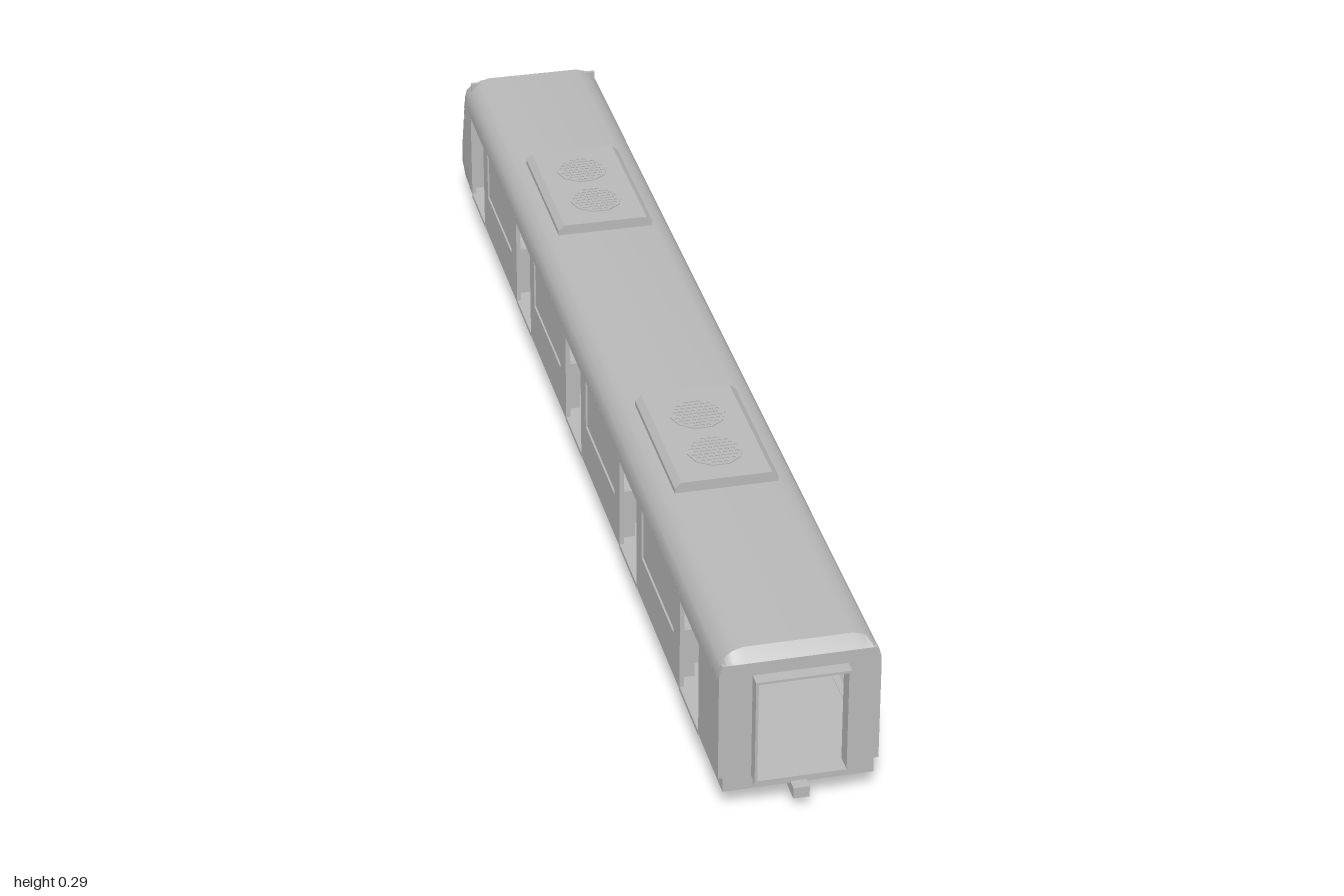
import * as THREE from 'three';
import { toCreasedNormals } from 'three/addons/utils/BufferGeometryUtils.js';

const grey = new THREE.MeshStandardMaterial({ color: 0xb8b8b8, side: THREE.DoubleSide });
grey.name = 'grey paint';

const DOORS = [0.803, 0.403, 0.007, -0.393, -0.795];
const WINDOWS = [0.6, 0.205, -0.198, -0.598];
const FRONT = 0.98, CAB = -0.88, SIDE = 0.119;

function add(parent, name, geometry, x = 0, y = 0, z = 0) {
  const mesh = new THREE.Mesh(geometry, grey);
  mesh.name = name;
  mesh.position.set(x, y, z);
  parent.add(mesh);
  return mesh;
}

// Box given by its limits on each axis
function block(parent, name, x0, x1, y0, y1, z0, z1) {
  return add(parent, name, new THREE.BoxGeometry(x1 - x0, y1 - y0, z1 - z0),
    (x0 + x1) / 2, (y0 + y1) / 2, (z0 + z1) / 2);
}

function rectPath(x0, x1, y0, y1, Type = THREE.Path) {
  return new Type([[x0, y0], [x1, y0], [x1, y1], [x0, y1]].map(p => new THREE.Vector2(...p)));
}

function tube(parent, name, points, radius) {
  const curve = new THREE.CatmullRomCurve3(points.map(p => new THREE.Vector3(...p)));
  return add(parent, name, new THREE.TubeGeometry(curve, 10, radius, 6));
}

// Skin through rows of points, each row having the same length
function loft(rows, crease = 0.5) {
  const n = rows[0].length, index = [];
  for (let r = 0; r < rows.length - 1; r++) {
    for (let i = 0; i < n - 1; i++) {
      const a = r * n + i, b = a + n;
      index.push(a, a + 1, b, a + 1, b + 1, b);
    }
  }
  const g = new THREE.BufferGeometry();
  g.setAttribute('position', new THREE.Float32BufferAttribute(rows.flat(2), 3));
  g.setIndex(index);
  g.computeVertexNormals();
  return toCreasedNormals(g, crease);
}

// Cab levels: height, half width, nose z
const CAB_LEVELS = [
  [0.027, 0.107, -0.985], [0.05, 0.114, -0.997], [0.075, 0.118, -1.0], [0.1, 0.119, -0.99],
  [0.15, 0.119, -0.967], [0.2, 0.119, -0.943], [0.225, 0.119, -0.93], [0.243, 0.117, -0.918],
  [0.256, 0.109, -0.905], [0.266, 0.096, -0.894], [0.272, 0.08, -0.885],
];

function cabLevel(y) {
  let k = 0;
  while (k < CAB_LEVELS.length - 2 && CAB_LEVELS[k + 1][0] < y) k++;
  const a = CAB_LEVELS[k], b = CAB_LEVELS[k + 1], t = (y - a[0]) / (b[0] - a[0]);
  return [y, a[1] + (b[1] - a[1]) * t, a[2] + (b[2] - a[2]) * t];
}

// Rounded plan outline of the cab at one level
function cabRow([y, w, nose], t0 = 0, t1 = 1, out = 0) {
  return Array.from({ length: 33 }, (_, i) => {
    const a = Math.PI * (t0 + (t1 - t0) * i / 32), c = Math.cos(a), s = Math.max(0, Math.sin(a));
    return [Math.sign(c) * Math.abs(c) ** 0.32 * w, y, CAB + (nose - CAB) * s ** 0.32 - out];
  });
}

// Side wall with open doorways and recessed windows
function buildSide(group, s) {
  const t = 0.007;
  const shape = rectPath(CAB, FRONT, 0.06, 0.226, THREE.Shape);
  DOORS.forEach(z => shape.holes.push(rectPath(z - 0.058, z + 0.058, 0.061, 0.212)));
  WINDOWS.forEach(z => shape.holes.push(rectPath(z - 0.104, z + 0.104, 0.131, 0.216)));
  const wall = new THREE.ExtrudeGeometry(shape, { depth: t, bevelEnabled: false });
  wall.rotateY(-Math.PI / 2);
  add(group, 'sideWall', wall, s > 0 ? SIDE : -SIDE + t);
  const xs = (a, b) => s > 0 ? [a, b] : [-b, -a];
  WINDOWS.forEach(z => {
    block(group, 'windowPane', ...xs(0.113, 0.116), 0.13, 0.217, z - 0.105, z + 0.105);
    // Bench with a sloping back, end screens, grab rails and poles
    block(group, 'benchSeat', ...xs(0.07, 0.112), 0.088, 0.1, z - 0.125, z + 0.125);
    block(group, 'benchBase', ...xs(0.09, 0.112), 0.06, 0.088, z - 0.12, z + 0.12);
    const back = block(group, 'benchBack', ...xs(0.1, 0.107), 0.1, 0.15, z - 0.125, z + 0.125);
    back.rotation.z = -s * 0.12;
    for (const e of [-1, 1]) {
      const ze = z + e * 0.128;
      block(group, 'endScreen', ...xs(0.07, 0.112), 0.09, 0.15, ze - 0.002, ze + 0.002);
      tube(group, 'grabRail', [[s * 0.066, 0.226, ze], [s * 0.058, 0.19, ze], [s * 0.062, 0.15, ze],
        [s * 0.055, 0.125, ze], [s * 0.066, 0.09, ze]], 0.0018);
    }
    tube(group, 'pole', [[s * 0.034, 0.06, z], [s * 0.034, 0.16, z], [s * 0.034, 0.27, z]], 0.0018);
  });
  DOORS.forEach(z => block(group, 'doorSill', ...xs(0.108, 0.119), 0.054, 0.061, z - 0.06, z + 0.06));
}

// Roof unit with two round perforated grilles
function buildRoofUnit(group, z) {
  const unit = new THREE.Group();
  unit.name = 'roofUnit';
  unit.position.z = z;
  group.add(unit);
  const profile = new THREE.Shape([[-0.08, 0.27], [0.08, 0.27], [0.08, 0.28], [0.07, 0.289],
    [-0.07, 0.289], [-0.08, 0.28]].map(p => new THREE.Vector2(...p)));
  add(unit, 'unitCasing', new THREE.ExtrudeGeometry(profile, { depth: 0.265, bevelEnabled: false }), 0, 0, -0.1325);
  for (const c of [-0.055, 0.055]) {
    const disc = new THREE.Shape().absarc(0, 0, 0.043, 0, Math.PI * 2);
    for (let r = -4; r <= 4; r++) {
      for (let k = -4; k <= 4; k++) {
        const x = (k + (r % 2 ? 0.5 : 0)) * 0.0095, y = r * 0.0088;
        if (Math.hypot(x, y) < 0.038) disc.holes.push(new THREE.Path().absarc(x, y, 0.0034, 0, Math.PI * 2, true));
      }
    }
    const grille = new THREE.ExtrudeGeometry(disc, { depth: 0.0018, bevelEnabled: false, curveSegments: 5 });
    grille.rotateX(-Math.PI / 2);
    add(unit, 'grille', grille, 0, 0.289, c);
  }
}

// Sloping driving cab and its fittings
function buildCab(group) {
  const cab = new THREE.Group();
  cab.name = 'drivingCab';
  group.add(cab);
  const bottom = cabRow(CAB_LEVELS[0]).map(([x, y]) => [x, y, CAB]);
  const top = cabRow(CAB_LEVELS[CAB_LEVELS.length - 1]).map(([x, y]) => [x, y, CAB]);
  add(cab, 'cabShell', loft([bottom, ...CAB_LEVELS.map(l => cabRow(l)), top], 0.7));
  const glass = [0.125, 0.15, 0.175, 0.2, 0.225, 0.235].map(y => cabRow(cabLevel(y), 0.3, 0.7, 0.0008));
  add(cab, 'windscreen', loft(glass));
  block(cab, 'cabBulkhead', -0.112, 0.112, 0.06, 0.268, CAB - 0.002, CAB + 0.004);
  block(cab, 'bulkheadStep', -0.062, 0.062, 0.06, 0.1, CAB + 0.004, CAB + 0.01);
  const onNose = (x, y) => [x, y, cabLevel(y)[2] - 0.001];
  for (const s of [-1, 1]) {
    tube(cab, 'wiperArm', [onNose(s * 0.085, 0.115), onNose(s * 0.062, 0.165), onNose(s * 0.04, 0.215)], 0.001);
    tube(cab, 'wiperBlade', [onNose(s * 0.045, 0.165), onNose(s * 0.042, 0.2), onNose(s * 0.04, 0.232)], 0.0012);
    const lamp = add(cab, 'headlamp', new THREE.CylinderGeometry(0.009, 0.009, 0.004, 16), s * 0.078, 0.09, -0.991);
    lamp.rotation.x = Math.PI / 2 - 0.35;
    block(cab, 'bufferBlock', s * 0.06 - 0.018, s * 0.06 + 0.018, 0.028, 0.046, -0.999, -0.95);
    for (const y of [0.185, 0.205]) block(cab, 'sideMarker', s * 0.119 - 0.001, s * 0.119 + 0.001, y, y + 0.006, -0.912, -0.907);
  }
  block(cab, 'rearCoupler', -0.014, 0.014, 0.026, 0.044, -1.0, -0.95);
}

export function createModel() {
  const model = new THREE.Group();
  model.name = 'railCarriage';

  // Underframe, floor and equipment boxes
  block(model, 'underframe', -0.112, 0.112, 0.036, 0.06, CAB, FRONT);
  for (const [z0, z1] of [[0.34, 0.53], [0.02, 0.225], [-0.28, -0.07], [-0.545, -0.36]]) {
    block(model, 'equipmentBox', -0.087, 0.087, 0.001, 0.037, z0, z1);
    for (const s of [-1, 1]) {
      for (const k of [0.25, 0.75]) {
        const z = z0 + (z1 - z0) * k;
        block(model, 'boxLatch', s * 0.0875 - 0.0015, s * 0.0875 + 0.0015, 0.01, 0.03, z - 0.002, z + 0.002);
      }
    }
  }

  for (const s of [-1, 1]) buildSide(model, s);

  // Curved roof, its end dropping to a short slope
  const half = [[0.119, 0.225], [0.1185, 0.236], [0.115, 0.248], [0.108, 0.258], [0.097, 0.267], [0.08, 0.272]];
  const arch = [...half, ...half.map(([x, y]) => [-x, y]).reverse()];
  const rows = [[CAB - 0.005, 1], [FRONT - 0.014, 1], [FRONT, 0.252]]
    .map(([z, top]) => arch.map(([x, y]) => [x, Math.min(y, top), z]));
  add(model, 'roof', loft(rows, 0.6));
  [0.415, -0.415].forEach(z => buildRoofUnit(model, z));

  // End wall with the gangway opening
  const end = new THREE.Shape([[-0.119, 0.06], [0.119, 0.06], [0.119, 0.225], [0.1185, 0.236], [0.114, 0.252],
    [-0.114, 0.252], [-0.1185, 0.236], [-0.119, 0.225]].map(p => new THREE.Vector2(...p)));
  end.holes.push(rectPath(-0.066, 0.066, 0.061, 0.227));
  add(model, 'endWall', new THREE.ExtrudeGeometry(end, { depth: 0.008, bevelEnabled: false }), 0, 0, FRONT - 0.008);
  const frame = rectPath(-0.07, 0.07, 0.058, 0.231, THREE.Shape);
  frame.holes.push(rectPath(-0.066, 0.066, 0.061, 0.227));
  add(model, 'gangwayFrame', new THREE.ExtrudeGeometry(frame, { depth: 0.02, bevelEnabled: false }), 0, 0, FRONT);
  block(model, 'gangwayStep', -0.068, 0.068, 0.046, 0.051, FRONT, 0.99);
  block(model, 'frontCoupler', -0.012, 0.012, 0.022, 0.04, 0.965, 1.0);

  buildCab(model);
  return model;
}
